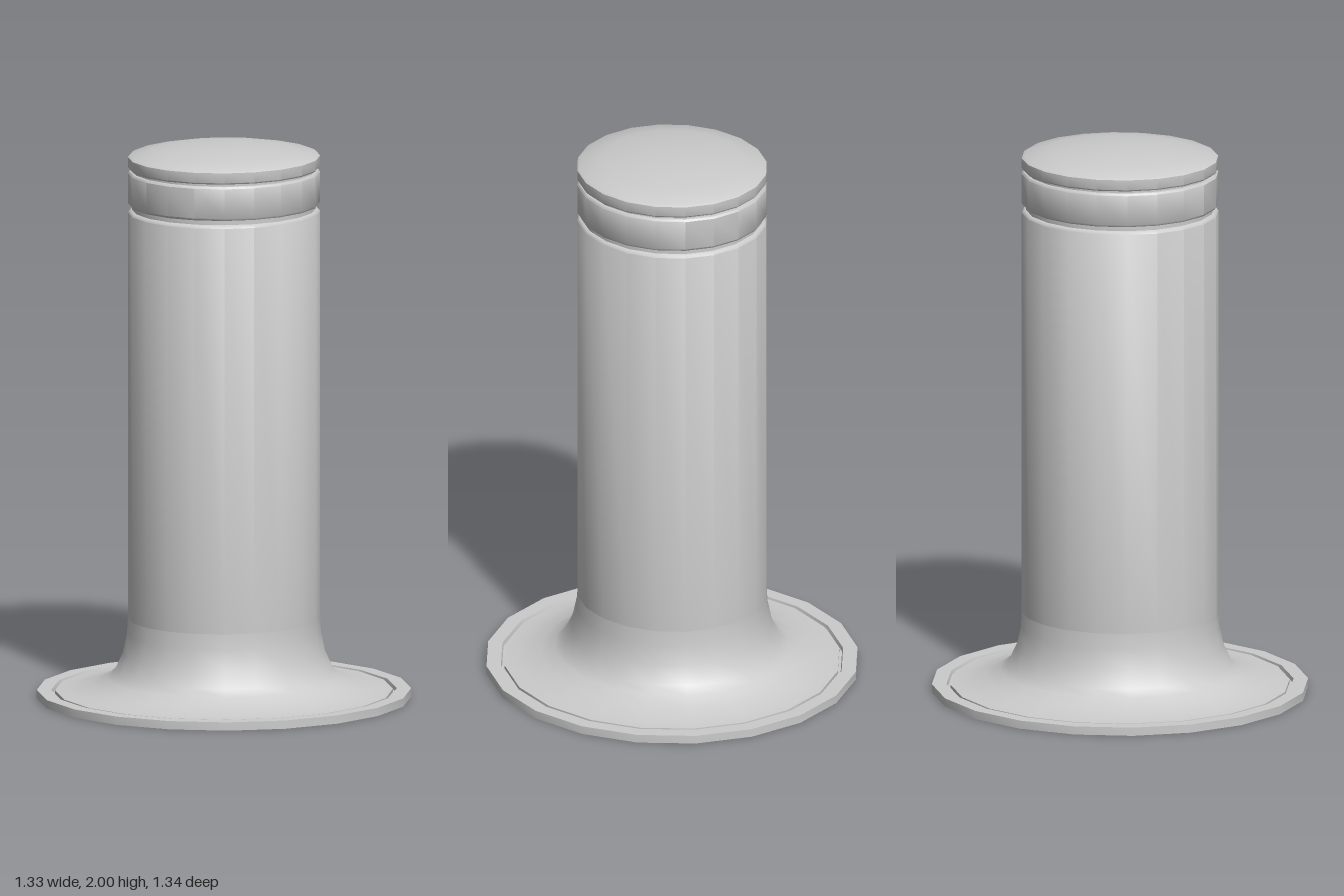
import * as THREE from 'three';
import { toCreasedNormals } from 'three/addons/utils/BufferGeometryUtils.js';

const SIDES = 20;
const material = new THREE.MeshStandardMaterial({ color: 0xcccccc, side: THREE.DoubleSide });

// Revolve a [radius, height] profile; the section is slightly narrower in x, most of all near the tube
function turned(name, profile) {
  const points = profile.map(([r, y]) => new THREE.Vector2(r, y));
  const lathe = new THREE.LatheGeometry(points, SIDES);
  const pos = lathe.attributes.position;
  for (let i = 0; i < pos.count; i++) {
    const r = Math.hypot(pos.getX(i), pos.getZ(i));
    const squeeze = THREE.MathUtils.mapLinear(THREE.MathUtils.clamp(r, 0.36, 0.6), 0.36, 0.6, 0.96, 0.989);
    pos.setX(i, pos.getX(i) * squeeze);
  }
  const mesh = new THREE.Mesh(toCreasedNormals(lathe, 0.7), material);
  mesh.name = name;
  return mesh;
}

export function createModel() {
  const group = new THREE.Group();
  group.name = 'bollard';

  // Flat ring on the ground, with a shallow step on its inner edge
  group.add(turned('baseRing', [
    [0.606, 0], [0.672, 0], [0.672, 0.03], [0.62, 0.03], [0.616, 0.016], [0.606, 0.016], [0.606, 0],
  ]));

  // Hollow flared skirt running up into the tube
  group.add(turned('flaredSkirt', [
    [0.606, 0.012], [0.606, 0.028], [0.56, 0.031], [0.48, 0.05], [0.43, 0.075],
    [0.4, 0.1], [0.37, 0.165], [0.355, 0.235], [0.352, 0.29],
  ]));

  // Straight tube with a chamfered upper edge
  group.add(turned('tube', [[0.352, 0.29], [0.352, 1.757], [0.345, 1.766], [0.337, 1.768]]));

  // Recessed grooves either side of the collar band
  group.add(turned('lowerGroove', [[0.337, 1.768], [0.337, 1.784]]));
  group.add(turned('collarBand', [
    [0.337, 1.784], [0.346, 1.785], [0.352, 1.793], [0.352, 1.9], [0.346, 1.907], [0.337, 1.908],
  ]));
  group.add(turned('upperGroove', [[0.337, 1.908], [0.337, 1.916]]));

  // Cap with a rounded rim and a shallow domed top
  group.add(turned('domedCap', [
    [0.337, 1.916], [0.348, 1.917], [0.352, 1.922], [0.352, 1.958], [0.342, 1.964],
    [0.26, 1.98], [0.17, 1.992], [0.085, 1.998], [0, 2],
  ]));

  return group;
}
